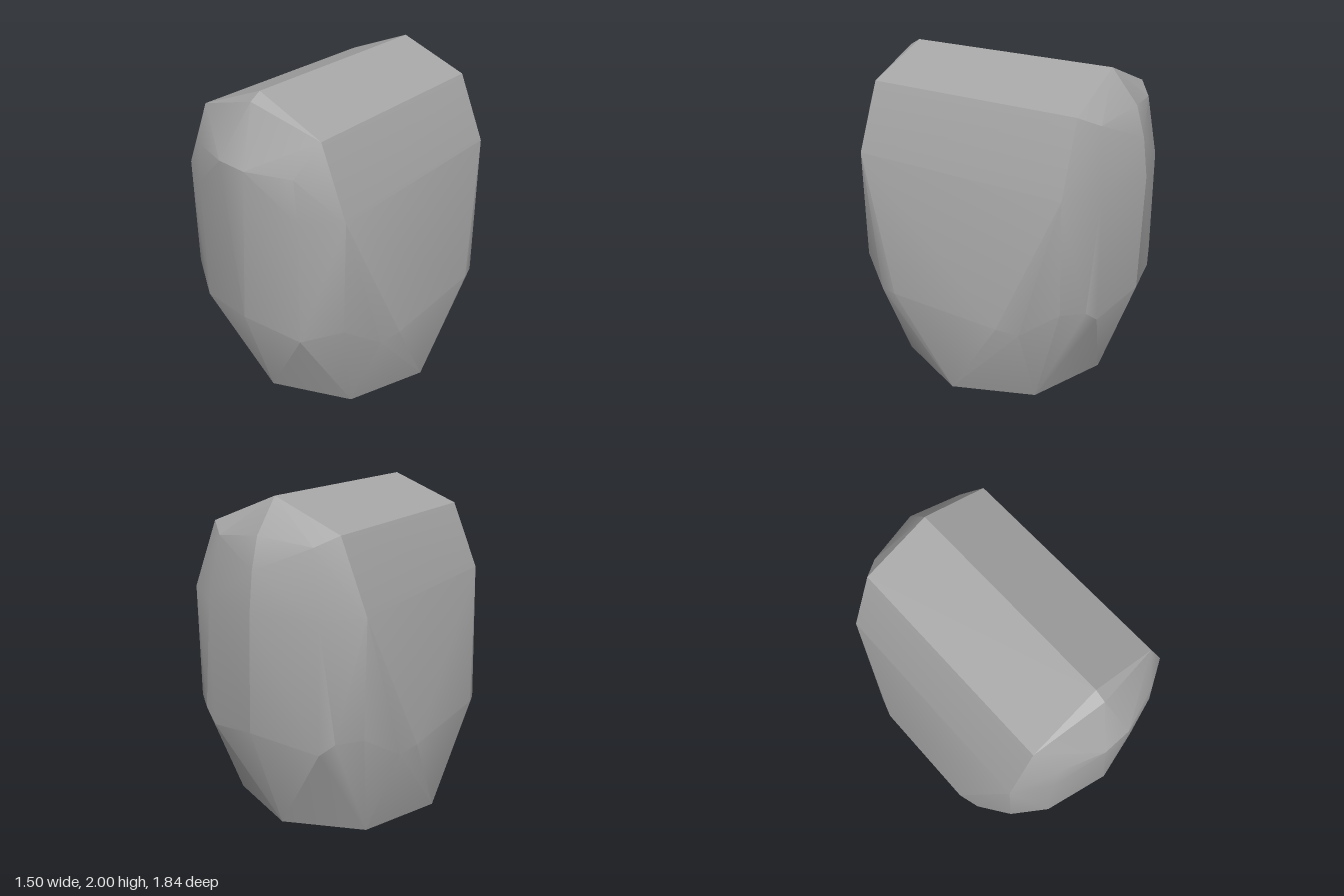
import * as THREE from 'three';
import { ConvexGeometry } from 'three/addons/geometries/ConvexGeometry.js';
import { toCreasedNormals } from 'three/addons/utils/BufferGeometryUtils.js';

export function createModel() {
  const stone = new THREE.MeshStandardMaterial({ color: 0xa6a6a6 });
  stone.name = 'grey stone';

  const points = [];
  const add = (x, y, z) => points.push(new THREE.Vector3(x, y, z));
  const mirrored = (x, y, z) => { add(x, y, z); add(-x, y, z); };

  // Octagonal base
  for (let i = 0; i < 8; i++) {
    const a = (i * Math.PI) / 4;
    add(0.685 * Math.sin(a), 0, 0.69 * Math.cos(a));
  }

  // Roof ridge, shoulders, flanks and rounded lower corners on both ends
  for (const s of [1, -1]) {
    add(0, 2, 0.67 * s);
    mirrored(0.43, 1.83, 0.68 * s);
    mirrored(0.6, 1.42, 0.69 * s);
    mirrored(0.595, 0.72, 0.7 * s);
    mirrored(0.71, 0.58, 0.5 * s);
    mirrored(0.75, 0.6, 0.37 * s);
    mirrored(0.38, 0.62, 0.83 * s);
    mirrored(0.38, 1.4, 0.82 * s);
    add(0.03, 0.69, 0.922 * s);
  }

  // Front face top facets
  add(0, 1.96, 0.74);
  add(-0.1, 1.65, 0.9);
  add(0.08, 1.64, 0.9);
  mirrored(0.35, 1.64, 0.81);

  // Back face, more gradually rounded at the top
  add(0, 1.81, -0.83);
  add(0, 1.63, -0.885);
  add(0, 1.4, -0.918);
  mirrored(0.32, 1.77, -0.77);
  mirrored(0.47, 0.7, -0.8);

  const geometry = toCreasedNormals(new ConvexGeometry(points), 0.42);
  const boulder = new THREE.Mesh(geometry, stone);
  boulder.name = 'boulder';

  const group = new THREE.Group();
  group.name = 'rock';
  group.add(boulder);
  return group;
}
